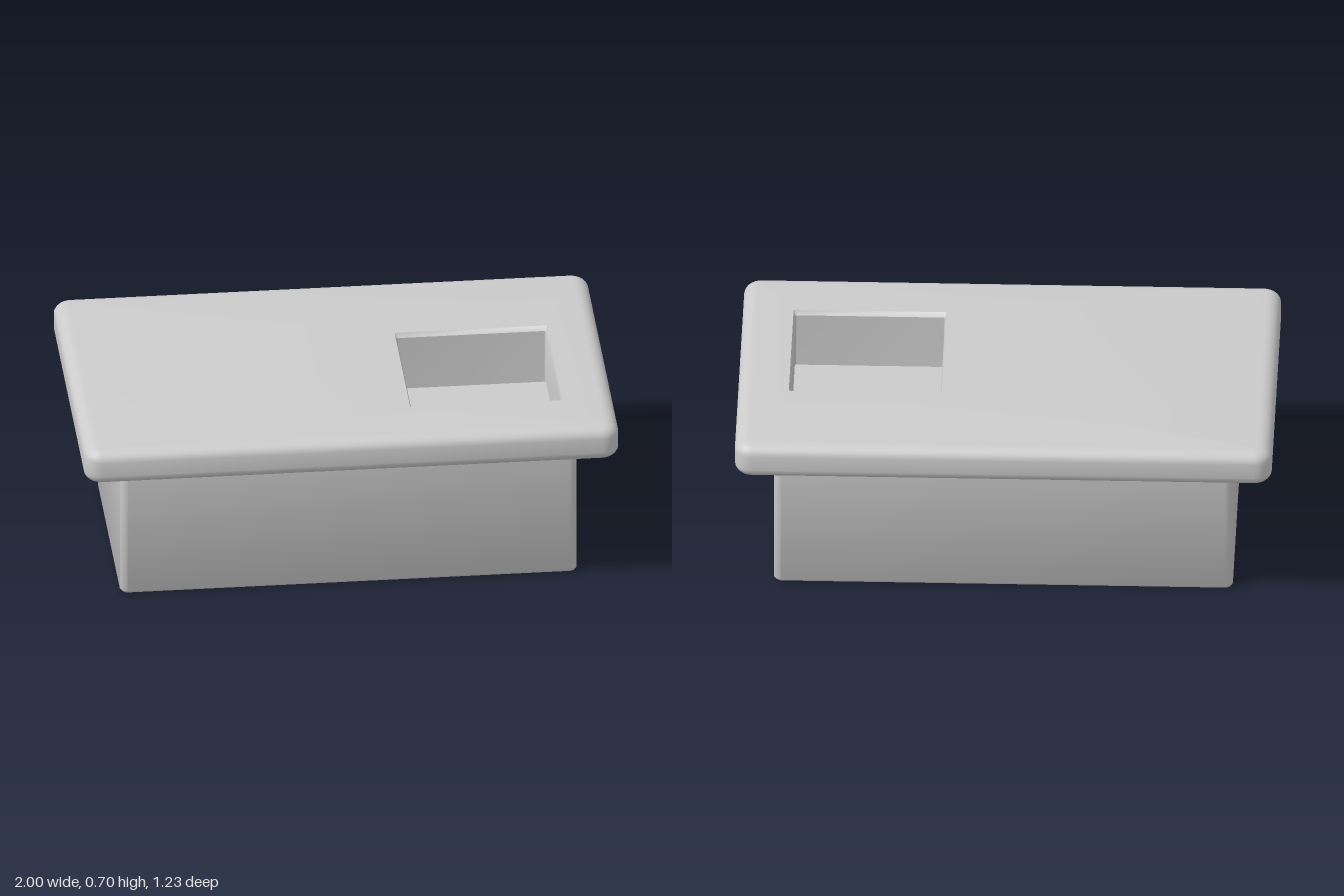
import * as THREE from 'three';
import { toCreasedNormals } from 'three/addons/utils/BufferGeometryUtils.js';

const CORNER_STEPS = 6;

// Rounded rectangle at height y, anticlockwise seen from above
function ring({ x0, x1, z0, z1, r }, y, inset = 0) {
  const radius = Math.max(r - inset, 0.004);
  const ax = x0 + inset + radius, bx = x1 - inset - radius;
  const az = z0 + inset + radius, bz = z1 - inset - radius;
  const centres = [[bx, az], [ax, az], [ax, bz], [bx, bz]];
  const points = [];
  centres.forEach(([cx, cz], k) => {
    for (let i = 0; i <= CORNER_STEPS; i++) {
      const a = (k + i / CORNER_STEPS) * Math.PI / 2;
      points.push(new THREE.Vector3(cx + radius * Math.cos(a), y, cz - radius * Math.sin(a)));
    }
  });
  return points;
}

// All points of a ring collapsed to its middle, to close a skin
function middle(rect, y) {
  const c = new THREE.Vector3((rect.x0 + rect.x1) / 2, y, (rect.z0 + rect.z1) / 2);
  return ring(rect, y).map(() => c);
}

// Skin over successive rings
function loft(name, rings, material) {
  const pos = [];
  const tri = (a, b, c) => {
    if (a.distanceTo(b) < 1e-6 || b.distanceTo(c) < 1e-6 || c.distanceTo(a) < 1e-6) return;
    for (const p of [a, b, c]) pos.push(p.x, p.y, p.z);
  };
  for (let i = 0; i < rings.length - 1; i++) {
    const lo = rings[i], hi = rings[i + 1], n = lo.length;
    for (let j = 0; j < n; j++) {
      const k = (j + 1) % n;
      tri(lo[j], lo[k], hi[k]);
      tri(lo[j], hi[k], hi[j]);
    }
  }
  const g = new THREE.BufferGeometry();
  g.setAttribute('position', new THREE.Float32BufferAttribute(pos, 3));
  const mesh = new THREE.Mesh(toCreasedNormals(g, 0.7), material);
  mesh.name = name;
  return mesh;
}

export function createModel() {
  const model = new THREE.Group();
  model.name = 'basinCounter';
  const material = new THREE.MeshStandardMaterial({ color: 0xcccccc, side: THREE.DoubleSide });

  const base = { x0: -0.85, x1: 0.86, z0: -0.42, z1: 0.43, r: 0.03 };
  const slab = { x0: -1, x1: 1, z0: -0.617, z1: 0.617, r: 0.065 };
  const hole = { x0: 0.245, x1: 0.805, z0: -0.19, z1: 0.36, r: 0.006 };
  const rim = { x0: 0.24, x1: 0.81, z0: -0.205, z1: 0.375, r: 0.008 };
  const under = 0.565, top = 0.705, floor = 0.475;

  // Cabinet body with softened bottom edge
  model.add(loft('cabinet', [
    middle(base, 0), ring(base, 0, 0.02), ring(base, 0.004, 0.008),
    ring(base, 0.014), ring(base, under),
  ], material));

  // Worktop: underside, rounded rim, top surface up to the basin opening
  const bevelX = 0.055, bevelY = 0.042, steps = 6;
  const rings = [ring(base, under)];
  for (let i = 0; i <= steps; i++) {
    const a = i / steps * Math.PI / 2;
    rings.push(ring(slab, under + bevelY * (1 - Math.cos(a)), bevelX * (1 - Math.sin(a))));
  }
  for (let i = 0; i <= steps; i++) {
    const a = i / steps * Math.PI / 2;
    rings.push(ring(slab, top - bevelY * (1 - Math.sin(a)), bevelX * (1 - Math.cos(a))));
  }
  rings.push(ring(rim, top));
  model.add(loft('worktop', rings, material));

  // Sunken basin
  model.add(loft('basin', [
    ring(rim, top), ring(hole, top - 0.015), ring(hole, floor), middle(hole, floor),
  ], material));

  return model;
}
